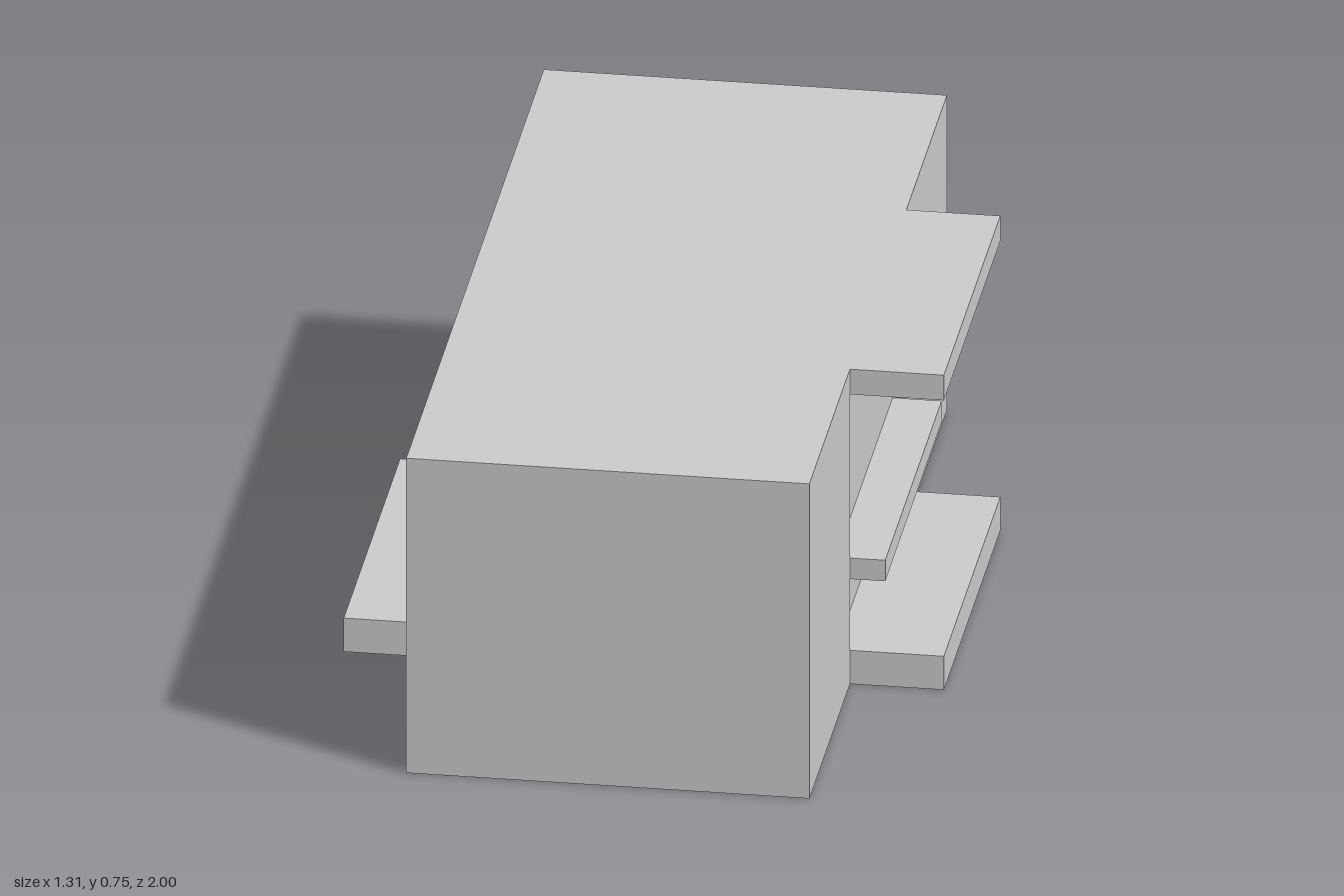
import * as THREE from 'three';

const HALF_BAY = 0.41; // half length of the bay in the middle of each long side

export function createModel() {
  const group = new THREE.Group();
  group.name = 'building';
  const material = new THREE.MeshStandardMaterial({ color: 0xcccccc, flatShading: true });

  function add(name, geometry) {
    const mesh = new THREE.Mesh(geometry, material);
    mesh.name = name;
    group.add(mesh);
  }

  // Slab along the bay, given by its x and y limits
  function slab(name, x0, x1, y0, y1) {
    const geometry = new THREE.BoxGeometry(x1 - x0, y1 - y0, 2 * HALF_BAY);
    add(name, geometry.translate((x0 + x1) / 2, (y0 + y1) / 2, 0));
  }

  // Main block: floor plan with a shallow recess on the left side, raised to full height
  const plan = new THREE.Shape([
    [-0.43, -1], [0.45, -1], [0.45, -HALF_BAY], [0.42, -HALF_BAY],
    [0.42, HALF_BAY], [0.45, HALF_BAY], [0.45, 1], [-0.43, 1],
  ].map(([x, y]) => new THREE.Vector2(x, y)));
  const body = new THREE.ExtrudeGeometry(plan, { depth: 0.75, bevelEnabled: false });
  add('mainBlock', body.rotateX(-Math.PI / 2));

  // Serving side: canopy, counter and step
  slab('canopy', 0.42, 0.655, 0.69, 0.75);
  slab('counter', 0.42, 0.527, 0.25, 0.3);
  slab('step', 0.42, 0.655, 0, 0.08);

  // Opposite side: bench seat with backrest
  slab('benchBack', -0.5, -0.43, 0, 0.3);
  slab('benchSeat', -0.655, -0.5, 0, 0.08);

  return group;
}
